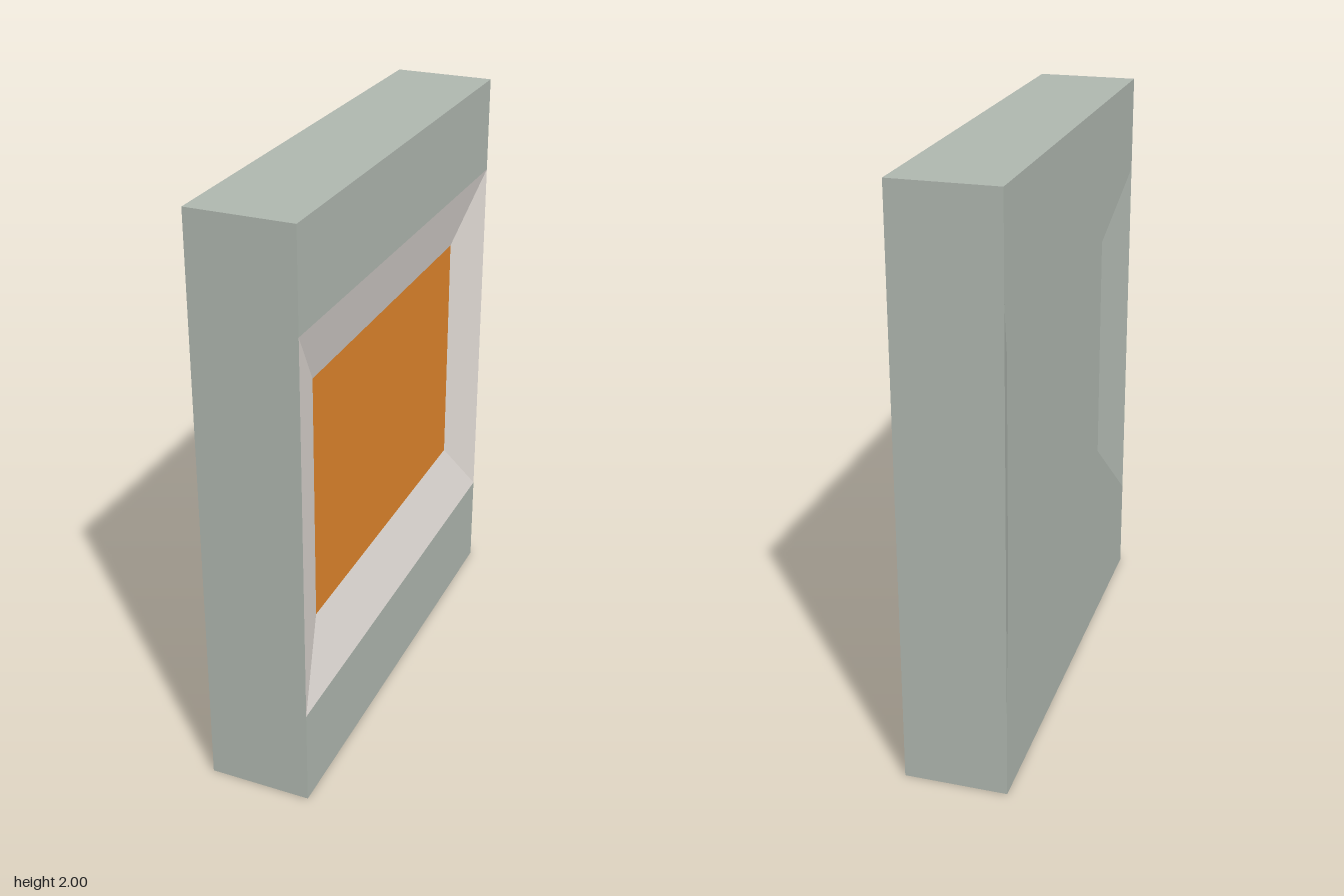
import * as THREE from 'three';

const X = 0.175, Z = 0.81, H = 2;          // half thickness, half width, height
const Y0 = 0.34, Y1 = 1.667;               // recess opening
const IX = 0.117, IZ = 0.6;                // inset panel depth and half width
const J0 = 0.585, J1 = 1.435;              // inset panel bottom and top

const shellMat = new THREE.MeshStandardMaterial({ color: 0xb0b8b0 });
const trimMat = new THREE.MeshStandardMaterial({ color: 0xe3ddd8 });
const panelMat = new THREE.MeshStandardMaterial({ color: 0xe0852c });

// Mesh from flat polygons (corners counter-clockwise from outside)
function faces(name, material, polygons, normal) {
  const pos = [];
  for (const p of polygons)
    for (let i = 1; i < p.length - 1; i++) pos.push(...p[0], ...p[i], ...p[i + 1]);
  const geo = new THREE.BufferGeometry();
  geo.setAttribute('position', new THREE.Float32BufferAttribute(pos, 3));
  geo.computeVertexNormals();
  if (normal) {
    const n = geo.attributes.normal;
    for (let i = 0; i < n.count; i++) n.setXYZ(i, ...normal);
  }
  const mesh = new THREE.Mesh(geo, material);
  mesh.name = name;
  return mesh;
}

// Rectangle on a plane of constant x, seen from +x
const rectX = (x, z, y0, y1) => [[x, y0, z], [x, y0, -z], [x, y1, -z], [x, y1, z]];
// Swap the z side of a polygon and keep it facing outward
const mirrorZ = (p) => p.map(([x, y, z]) => [x, y, -z]).reverse();
// Turn a polygon to the other side of x
const mirrorX = (p) => p.map(([x, y, z]) => [-x, y, z]).reverse();

export function createModel() {
  const group = new THREE.Group();
  group.name = 'displayPanel';

  // Flat bands above and below the recess
  group.add(faces('topBand', shellMat, [rectX(X, Z, Y1, H)]));
  group.add(faces('bottomBand', shellMat, [rectX(X, Z, 0, Y0)]));

  // Narrow end walls in three sections each
  const ends = [];
  for (const [a, b] of [[0, Y0], [Y0, Y1], [Y1, H]]) {
    const wall = [[-X, a, Z], [X, a, Z], [X, b, Z], [-X, b, Z]];
    ends.push(wall, mirrorZ(wall));
  }
  group.add(faces('endWalls', shellMat, ends));

  // Top and bottom caps
  group.add(faces('caps', shellMat, [
    [[-X, H, Z], [X, H, Z], [X, H, -Z], [-X, H, -Z]],
    [[-X, 0, -Z], [X, 0, -Z], [X, 0, Z], [-X, 0, Z]],
  ]));

  // Bevelled surround stepping in to the inset panel
  const side = [[X, Y0, Z], [IX, J0, IZ], [IX, J1, IZ], [X, Y1, Z]];
  const sill = [[X, Y0, Z], [X, Y0, -Z], [IX, J0, -IZ], [IX, J0, IZ]];
  const head = [[IX, J1, IZ], [IX, J1, -IZ], [X, Y1, -Z], [X, Y1, Z]];
  group.add(faces('bevelSurround', trimMat, [side, mirrorZ(side), sill, head]));
  group.add(faces('insetPanel', panelMat, [rectX(IX, IZ, J0, J1)]));

  // Back: shallow dished plate with sloped strips at both ends
  group.add(faces('backStrips', shellMat, [mirrorX(side), mirrorX(mirrorZ(side))]));
  const lower = [[X, 0, Z], [X, 0, -Z], [IX, J0, -IZ], [IX, J0, IZ]];
  const upper = [[IX, J1, IZ], [IX, J1, -IZ], [X, H, -Z], [X, H, Z]];
  const lowCorner = [[X, 0, Z], [IX, J0, IZ], [X, Y0, Z]];
  const highCorner = [[X, Y1, Z], [IX, J1, IZ], [X, H, Z]];
  const plate = [
    rectX(IX, IZ, J0, J1), lower, upper,
    lowCorner, mirrorZ(lowCorner), highCorner, mirrorZ(highCorner),
  ];
  group.add(faces('backPlate', shellMat, plate.map(mirrorX), [-1, 0, 0]));

  return group;
}
